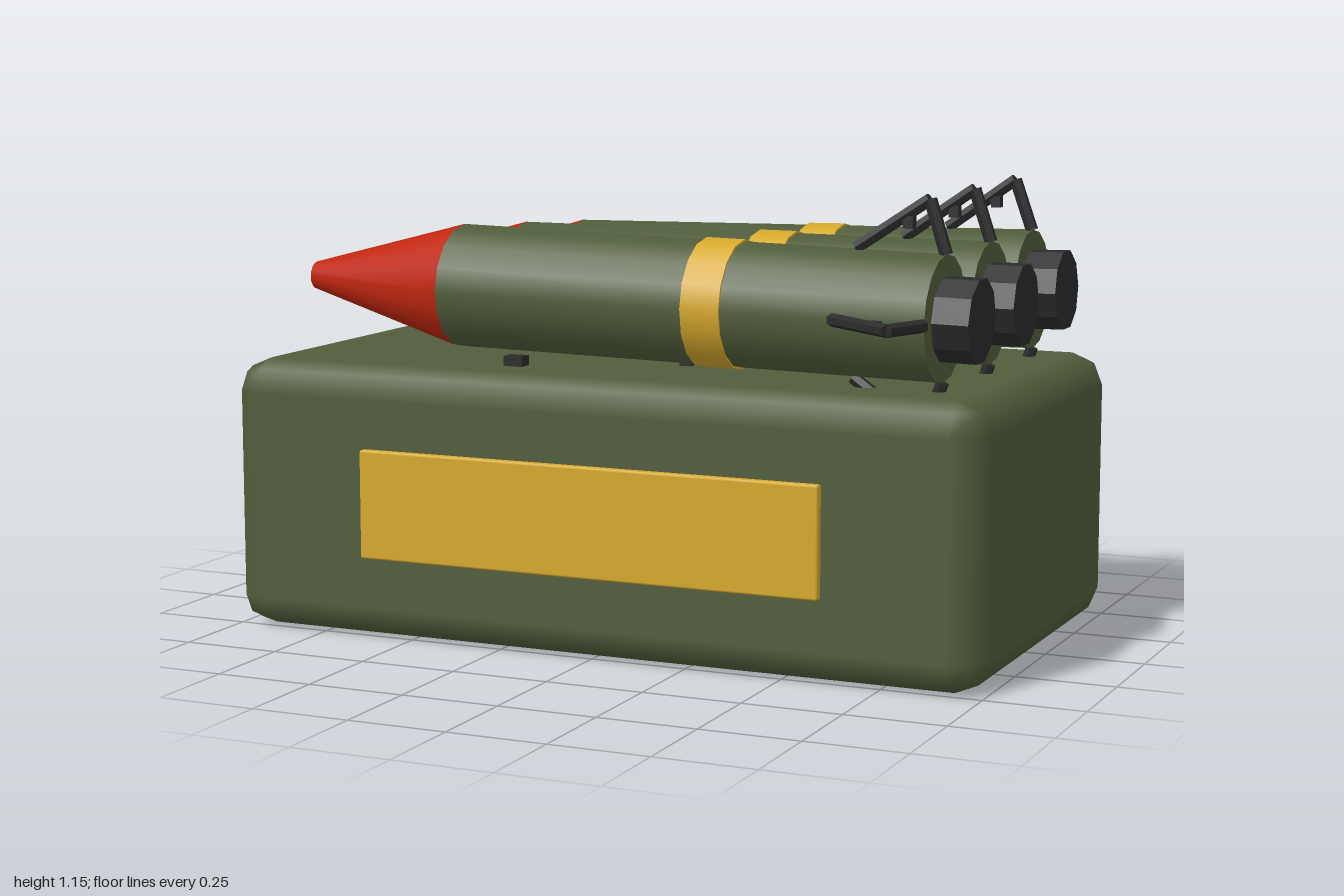
import * as THREE from 'three';

const mat = (name, color) => new THREE.MeshStandardMaterial({ name, color });

// Box with quarter-round edges made of two facets
function softBox(w, h, d, r) {
  const g = new THREE.BoxGeometry(2, 2, 2, 3, 3, 3);
  const p = g.attributes.position, n = g.attributes.normal;
  const half = new THREE.Vector3(w / 2 - r, h / 2 - r, d / 2 - r);
  const v = new THREE.Vector3(), dir = new THREE.Vector3();
  const snap = (a) => (Math.abs(a) > 0.9 ? Math.sign(a) : 0);
  for (let i = 0; i < p.count; i++) {
    v.fromBufferAttribute(p, i);
    dir.set(snap(v.x), snap(v.y), snap(v.z)).normalize();
    p.setXYZ(i,
      Math.sign(v.x) * half.x + dir.x * r,
      Math.sign(v.y) * half.y + dir.y * r,
      Math.sign(v.z) * half.z + dir.z * r);
    n.setXYZ(i, dir.x, dir.y, dir.z);
  }
  return g;
}

function flat(g) {
  const f = g.toNonIndexed();
  f.computeVertexNormals();
  return f;
}

function add(parent, name, geometry, material, x = 0, y = 0, z = 0) {
  const m = new THREE.Mesh(geometry, material);
  m.name = name;
  m.position.set(x, y, z);
  parent.add(m);
  return m;
}

// Round section along x, from x0 (radius r0) to x1 (radius r1)
function section(parent, name, x0, r0, x1, r1, sides, material, faceted = false) {
  let g = new THREE.CylinderGeometry(r0, r1, x1 - x0, sides);
  g.rotateZ(Math.PI / 2);
  if (faceted) g = flat(g);
  return add(parent, name, g, material, (x0 + x1) / 2, 0, 0);
}

// Thin six-sided bar between two points
function strut(parent, name, a, b, r, material) {
  const dir = b.clone().sub(a);
  const m = add(parent, name, flat(new THREE.CylinderGeometry(r, r, dir.length(), 6)), material);
  m.position.copy(a).add(b).multiplyScalar(0.5);
  m.quaternion.setFromUnitVectors(new THREE.Vector3(0, 1, 0), dir.normalize());
}

export function createModel() {
  const olive = mat('olive', 0x505d3b);
  const gold = mat('gold', 0xd6a92c);
  const red = mat('red', 0xc0260f);
  const dark = mat('charcoal', 0x2b2b2d);
  const model = new THREE.Group();
  model.name = 'rocketLauncher';

  // Crate and its side panels
  add(model, 'crate', softBox(2, 0.69, 1.08, 0.08), olive, 0, 0.345, 0);
  for (const s of [1, -1]) {
    add(model, 'sidePanel', softBox(1.225, 0.275, 0.04, 0.006), gold, 0, 0.348, s * 0.54);
  }

  // Three rockets, each pitched slightly about its tail (local x = 0)
  for (const k of [1, 0, -1]) {
    const rocket = new THREE.Group();
    rocket.name = 'rocket';
    rocket.position.set(0.845, 0.863, k * 0.345);
    rocket.rotation.z = -k * 0.0177;
    model.add(rocket);

    section(rocket, 'noseCone', -1.695, 0.035, -1.27, 0.154, 16, red);
    section(rocket, 'body', -1.27, 0.154, 0, 0.152, 16, olive);
    section(rocket, 'band', -0.61, 0.158, -0.51, 0.158, 16, gold);
    section(rocket, 'nozzle', -0.01, 0.103, 0.09, 0.103, 10, dark, true);

    // Four open tail fins
    for (let i = 0; i < 4; i++) {
      const fin = new THREE.Group();
      fin.name = 'tailFin';
      fin.rotation.x = i * Math.PI / 2;
      rocket.add(fin);
      const front = new THREE.Vector3(-0.225, 0.155, 0);
      const tip = new THREE.Vector3(-0.045, 0.278, 0);
      const back = new THREE.Vector3(-0.002, 0.15, 0);
      strut(fin, 'finFrontBar', front, tip, 0.016, dark);
      strut(fin, 'finBackBar', tip, back, 0.016, dark);
      add(fin, 'finStud', new THREE.BoxGeometry(0.025, 0.03, 0.025), dark, -0.095, 0.222, 0);
    }
  }

  // Small mounting pads on the crate top
  for (const [x, z, w] of [[-0.08, -0.18, 0.06], [0.11, 0.165, 0.03], [-0.28, 0.345, 0.05]]) {
    add(model, 'mountPad', new THREE.BoxGeometry(w, 0.03, 0.04), dark, x, 0.7, z);
  }
  return model;
}
